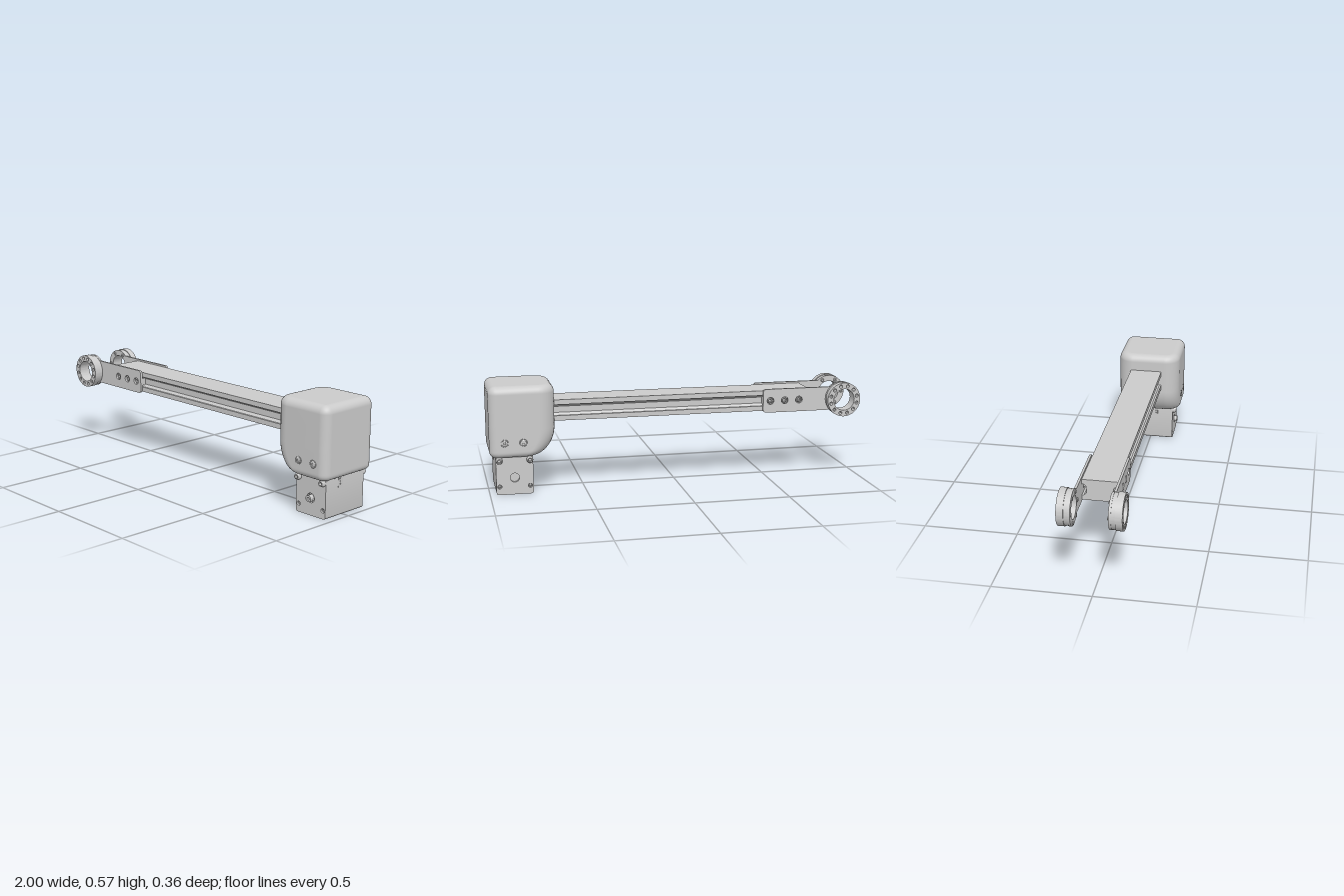
import * as THREE from 'three';
import { toCreasedNormals } from 'three/addons/utils/BufferGeometryUtils.js';

const material = new THREE.MeshStandardMaterial({ color: 0xcccccc });
const MID_Z = -0.011; // centre plane of the arm
const RING = [-0.908, 0.425]; // pivot ring centre

function add(parent, name, geometry) {
  const mesh = new THREE.Mesh(geometry, material);
  mesh.name = name;
  parent.add(mesh);
  return mesh;
}

function circle(x, y, r, Type = THREE.Path) {
  return new Type().absarc(x, y, r, 0, Math.PI * 2, false);
}

// Extrudes an xy shape between two z planes, keeping round walls smooth
function slab(shape, za, zb) {
  const geometry = new THREE.ExtrudeGeometry(shape, { depth: Math.abs(zb - za), bevelEnabled: false, curveSegments: 40 });
  geometry.translate(0, 0, Math.min(za, zb));
  return toCreasedNormals(geometry, 0.6);
}

function roundedRect(x0, y0, x1, y1, r) {
  const s = new THREE.Shape();
  s.absarc(x1 - r, y0 + r, r, -Math.PI / 2, 0);
  s.absarc(x1 - r, y1 - r, r, 0, Math.PI / 2);
  s.absarc(x0 + r, y1 - r, r, Math.PI / 2, Math.PI);
  s.absarc(x0 + r, y0 + r, r, Math.PI, Math.PI * 1.5);
  return s;
}

// Button-shaped screw head along z with a socket, facing sign * z
function screw(parent, name, x, y, z, r, h, sign) {
  const profile = [[r, 0], [r, h * 0.5], [r * 0.75, h], [r * 0.45, h], [r * 0.4, h * 0.4], [0, h * 0.4]];
  const geometry = new THREE.LatheGeometry(profile.map(([a, b]) => new THREE.Vector2(a, b)), 24);
  geometry.rotateX(sign * Math.PI / 2);
  const mesh = add(parent, name, toCreasedNormals(geometry, 0.5));
  mesh.position.set(x, y, z);
}

// Housing: rounded-rectangle sections stacked in y, with a swept lower left side
function housingGeometry() {
  const sections = [];
  const base = 0.2, top = 0.57, sweep = 0.15, topR = 0.04, baseR = 0.03;
  for (let i = 18; i >= 0; i--) {
    const a = (i / 18) * Math.PI / 2;
    const y = base + sweep * (1 - Math.sin(a));
    const d = Math.max(0, base + baseR - y);
    const inset = baseR - Math.sqrt(Math.max(0, baseR * baseR - d * d));
    sections.push({ y, inset, left: 0.655 + 0.12 * (1 - Math.cos(a)) });
  }
  for (let i = 0; i <= 8; i++) {
    const a = (i / 8) * Math.PI / 2, inset = topR * (1 - Math.cos(a));
    sections.push({ y: top - topR + topR * Math.sin(a), inset, left: 0.655 + inset });
  }
  const ringOf = ({ y, inset, left }) => {
    const right = 0.997 - inset, half = 0.176 - inset, points = [];
    for (let q = 0; q < 4; q++) {
      const isRight = q === 0 || q === 3;
      const r = Math.max(0.006, (isRight ? 0.045 : 0.085) - inset);
      const cx = isRight ? right - r : left + r;
      const cz = (q < 2 ? 1 : -1) * (half - r);
      for (let k = 0; k <= 8; k++) {
        const a = (q + k / 8) * Math.PI / 2;
        points.push([cx + r * Math.cos(a), y, cz + r * Math.sin(a)]);
      }
    }
    return points;
  };
  const rings = sections.map(ringOf);
  const first = rings[0], last = rings[rings.length - 1];
  const hub = (ring) => ring.map((p) => [0.87, p[1], 0]);
  const rows = [hub(first), first, ...rings, last, hub(last)];
  const n = first.length, index = [];
  for (let i = 0; i < rows.length - 1; i++) {
    if (i === 1 || i === rows.length - 3) continue; // crease between wall and cap
    for (let j = 0; j < n; j++) {
      const a = i * n + j, b = i * n + (j + 1) % n;
      index.push(a, a + n, b, a + n, b + n, b);
    }
  }
  const geometry = new THREE.BufferGeometry();
  geometry.setAttribute('position', new THREE.Float32BufferAttribute(rows.flat(2), 3));
  geometry.setIndex(index);
  geometry.computeVertexNormals();
  return geometry;
}

// Grooved beam profile, extruded along x
function beamGeometry() {
  const half = [[0.089, 0.37], [0.089, 0.396], [0.079, 0.396], [0.066, 0.409], [0.066, 0.441], [0.079, 0.454], [0.089, 0.454], [0.089, 0.48]];
  const outline = [...half, ...half.map(([s, y]) => [-s, y]).reverse()];
  const shape = new THREE.Shape(outline.map(([s, y]) => new THREE.Vector2(s, y)));
  const geometry = new THREE.ExtrudeGeometry(shape, { depth: 1.44, bevelEnabled: false });
  geometry.rotateY(Math.PI / 2);
  geometry.translate(-0.73, 0, MID_Z);
  return geometry;
}

// Fork side: plate with an eye, end lip, screws and pivot ring
function forkSide(sign) {
  const group = new THREE.Group();
  group.name = sign > 0 ? 'frontFork' : 'rearFork';
  const z = (d) => MID_Z + sign * d;

  const plate = new THREE.Shape();
  plate.absarc(RING[0], RING[1], 0.09, Math.PI / 4, Math.PI * 1.75, false);
  plate.lineTo(-0.49, 0.361);
  plate.absarc(-0.487, 0.379, 0.018, -Math.PI / 2, 0, false);
  plate.absarc(-0.487, 0.471, 0.018, 0, Math.PI / 2, false);
  plate.holes.push(circle(...RING, 0.058));
  const holeX = [-0.67, -0.59, -0.51];
  holeX.forEach((x) => plate.holes.push(circle(x, 0.425, 0.019)));
  add(group, 'forkPlate', slab(plate, z(0.09), z(0.102)));
  holeX.forEach((x) => screw(group, 'forkScrew', x, 0.425, z(0.08), 0.016, 0.016, sign));

  const lip = add(group, 'forkLip', new THREE.BoxGeometry(0.01, 0.04, 0.03));
  lip.position.set(-0.476, 0.425, z(0.08));

  // Stepped pivot ring with a circle of bolt holes
  const collar = circle(...RING, 0.088, THREE.Shape);
  collar.holes.push(circle(...RING, 0.058));
  add(group, 'ringCollar', slab(collar, z(0.102), z(0.122)));
  const ring = circle(...RING, 0.092, THREE.Shape);
  ring.holes.push(circle(...RING, 0.058));
  for (let i = 0; i < 12; i++) {
    const a = ((i + 0.5) / 12) * Math.PI * 2;
    ring.holes.push(circle(RING[0] + 0.075 * Math.cos(a), RING[1] + 0.075 * Math.sin(a), 0.009));
  }
  add(group, 'pivotRing', slab(ring, z(0.122), z(0.157)));

  // Screw heads on the inner face of the eye
  for (let i = 0; i < 6; i++) {
    const a = (i / 6) * Math.PI * 2;
    screw(group, 'eyeScrew', RING[0] + 0.074 * Math.cos(a), RING[1] + 0.074 * Math.sin(a), z(0.09), 0.01, 0.005, -sign);
  }
  return group;
}

// Motor: solid core, drilled end plates, screws, shaft and side connectors
function motor() {
  const group = new THREE.Group();
  group.name = 'motor';
  const body = () => roundedRect(0.775, 0, 0.967, 0.23, 0.013);
  add(group, 'motorBody', slab(body(), -0.128, 0.117));
  for (const [sign, inner, outer] of [[1, 0.117, 0.132], [-1, -0.128, -0.143]]) {
    const plate = body();
    for (const x of [0.792, 0.95]) {
      plate.holes.push(circle(x, 0.043, 0.011));
      screw(group, 'motorScrew', x, 0.183, outer, 0.017, 0.022, sign);
      screw(group, 'recessedScrew', x, 0.043, inner, 0.009, 0.008, sign);
    }
    plate.holes.push(circle(0.871, 0.089, 0.024));
    add(group, 'motorEndPlate', slab(plate, inner, outer));
  }
  const shaft = circle(0.871, 0.089, 0.017, THREE.Shape);
  shaft.holes.push(circle(0.871, 0.089, 0.007));
  add(group, 'motorShaft', slab(shaft, 0.11, 0.15));

  for (const [x, sign] of [[0.967, 1], [0.775, -1]]) {
    const socket = add(group, 'connectorSocket', new THREE.BoxGeometry(0.004, 0.06, 0.03));
    socket.position.set(x, 0.177, 0.028);
    for (let i = 0; i < 3; i++) {
      const pin = add(group, 'connectorPin', new THREE.BoxGeometry(0.006, 0.005, 0.005));
      pin.position.set(x + sign * 0.002, 0.163 + i * 0.014, 0.032);
    }
  }
  return group;
}

export function createModel() {
  const model = new THREE.Group();
  model.name = 'robotArmLink';
  add(model, 'beam', beamGeometry());
  add(model, 'housing', housingGeometry());
  model.add(motor(), forkSide(1), forkSide(-1));

  // Screws with raised rims on both housing cheeks
  for (const sign of [1, -1]) {
    for (const x of [0.825, 0.92]) {
      const rim = add(model, 'housingScrewRim', new THREE.TorusGeometry(0.018, 0.002, 8, 32));
      rim.position.set(x, 0.28, sign * 0.176);
      screw(model, 'housingScrew', x, 0.28, sign * 0.175, 0.014, 0.004, sign);
    }
  }
  return model;
}
